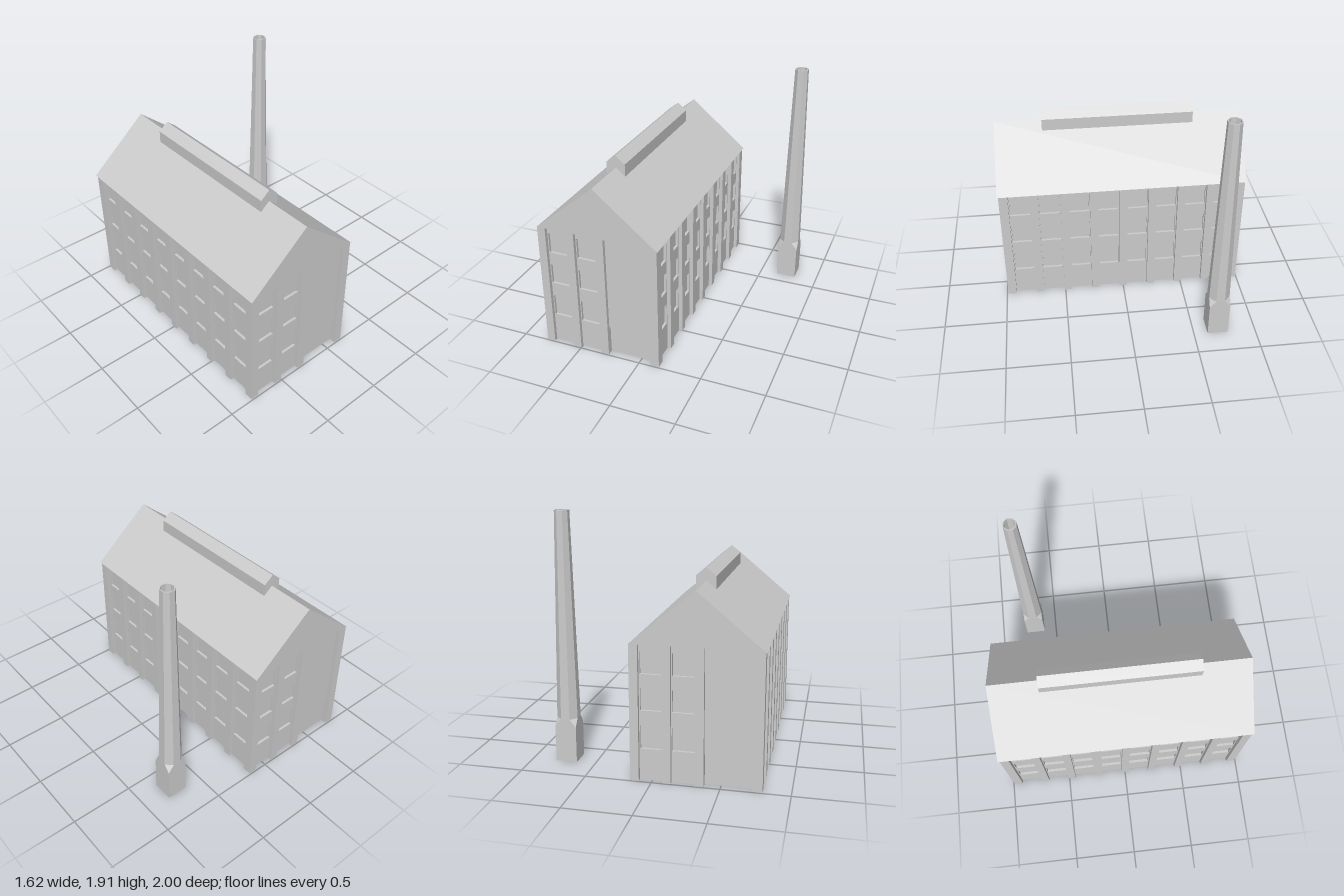
import * as THREE from 'three';

const material = new THREE.MeshStandardMaterial({ color: 0xcccccc, flatShading: true, side: THREE.DoubleSide });
const EAVE = 1.02, RIDGE = 1.42, HALF_W = 0.48, HALF_L = 0.99, CENTRE_X = -0.32;
const BAY = -0.03, GLASS = -0.05;            // depths behind the pilaster face
const WINDOW_ROWS = [[0.24, 0.415], [0.53, 0.695], [0.8, 0.965]];

// Mesh from flat quads (or triangles), corners listed counter-clockwise
function faceMesh(name, faces) {
  const pos = [];
  for (const f of faces)
    for (let i = 1; i < f.length - 1; i++) pos.push(...f[0], ...f[i], ...f[i + 1]);
  const g = new THREE.BufferGeometry();
  g.setAttribute('position', new THREE.Float32BufferAttribute(pos, 3));
  g.computeVertexNormals();
  const mesh = new THREE.Mesh(g, material);
  mesh.name = name;
  return mesh;
}

// Upright rectangle facing +z
const rect = (x0, x1, y0, y1, z) => [[x0, y0, z], [x1, y0, z], [x1, y1, z], [x0, y1, z]];

// Inner sides of a recess from depth z0 back to z1
function reveals(x0, x1, y0, y1, z0, z1, sill = true) {
  const sides = [
    [[x0, y0, z0], [x0, y0, z1], [x0, y1, z1], [x0, y1, z0]],
    [[x1, y0, z1], [x1, y0, z0], [x1, y1, z0], [x1, y1, z1]],
    [[x0, y1, z0], [x0, y1, z1], [x1, y1, z1], [x1, y1, z0]],
  ];
  if (sill) sides.push([[x0, y0, z1], [x0, y0, z0], [x1, y0, z0], [x1, y0, z1]]);
  return sides;
}

// A wall facing +z: pilasters between recessed bays; each bay holds windows or a gate
function makeWall(name, half, bays) {
  const wall = new THREE.Group();
  wall.name = name;
  const pilasters = [], panels = [], windows = [], gates = [];
  let edge = -half;
  for (const { x0, x1, gate } of bays) {
    pilasters.push(rect(edge, x0, 0, EAVE, 0), ...reveals(x0, x1, 0, EAVE, 0, BAY, false));
    edge = x1;
    if (gate) {
      // upper leaf stands proud of the low threshold panel
      gates.push(rect(x0, x1, 0.235, EAVE, BAY), rect(x0, x1, 0, 0.235, GLASS),
        ...reveals(x0, x1, 0, 0.235, BAY, GLASS, false));
      continue;
    }
    const w0 = x0 + 0.008, w1 = x1 - 0.008;
    panels.push(rect(x0, w0, 0, EAVE, BAY), rect(w1, x1, 0, EAVE, BAY));
    let y = 0;
    for (const [y0, y1] of WINDOW_ROWS) {
      panels.push(rect(w0, w1, y, y0, BAY));
      windows.push(rect(w0, w1, y0, y1, GLASS), ...reveals(w0, w1, y0, y1, BAY, GLASS));
      y = y1;
    }
    panels.push(rect(w0, w1, y, EAVE, BAY));
  }
  pilasters.push(rect(edge, half, 0, EAVE, 0));
  wall.add(faceMesh('pilasters', pilasters), faceMesh('bayPanels', panels), faceMesh('windows', windows));
  if (gates.length) wall.add(faceMesh('gate', gates));
  return wall;
}

function makeHall() {
  const hall = new THREE.Group();
  hall.name = 'hall';
  hall.position.x = CENTRE_X;

  // End walls with gables, the back one turned half a circle
  const endBays = [
    { x0: -0.415, x1: -0.245 },
    { x0: -0.18, x1: -0.005 },
    { x0: 0.06, x1: 0.41, gate: true },
  ];
  // Long walls with eight equal bays
  const sideBays = [];
  for (let i = 0; i < 8; i++) {
    const c = (i - 3.5) * 0.2375;
    sideBays.push({ x0: c - 0.0875, x1: c + 0.0875 });
  }
  for (const turn of [0, 1]) {
    const s = turn ? -1 : 1;
    const end = makeWall(turn ? 'backWall' : 'frontWall', HALF_W, endBays);
    end.add(faceMesh('gable', [[[-HALF_W, EAVE, 0], [HALF_W, EAVE, 0], [0, RIDGE, 0]]]));
    end.position.z = s * HALF_L;
    end.rotation.y = turn * Math.PI;
    const side = makeWall(turn ? 'rightWall' : 'leftWall', HALF_L, sideBays);
    side.position.x = s * HALF_W;
    side.rotation.y = s * Math.PI / 2;
    hall.add(end, side);
  }

  // Thin gabled roofs: main roof and the ridge monitor
  const slopes = (w, yEave, yRidge, l) => [
    [[0, yRidge, l], [w, yEave, l], [w, yEave, -l], [0, yRidge, -l]],
    [[0, yRidge, -l], [-w, yEave, -l], [-w, yEave, l], [0, yRidge, l]],
  ];
  hall.add(faceMesh('roof', slopes(0.49, 1.012, RIDGE, 1)));

  const w = 0.075, l = 0.615, low = 1.358, top = 1.455, peak = 1.515;
  const monitor = new THREE.Group();
  monitor.name = 'roofMonitor';
  const walls = [];
  for (const s of [1, -1]) {
    walls.push(
      [[s * w, low, s * l], [s * w, low, -s * l], [s * w, top, -s * l], [s * w, top, s * l]],
      [[-s * w, low, s * l], [0, RIDGE, s * l], [0, peak, s * l], [-s * w, top, s * l]],
      [[0, RIDGE, s * l], [s * w, low, s * l], [s * w, top, s * l], [0, peak, s * l]]);
  }
  monitor.add(faceMesh('monitorWalls', walls), faceMesh('monitorRoof', slopes(w, top, peak, l)));
  hall.add(monitor);
  return hall;
}

function makeChimney() {
  const chimney = new THREE.Group();
  chimney.name = 'chimney';
  chimney.position.set(0.7275, 0, -0.6925);
  const a = 0.082, t = a * Math.tan(Math.PI / 8), shoulder = 0.28, neck = 0.34, height = 1.91;

  // Square base whose corners slope up into the octagon
  const base = [];
  for (let i = 0; i < 4; i++) {
    const c = Math.round(Math.cos(i * Math.PI / 2)), s = Math.round(Math.sin(i * Math.PI / 2));
    const p = (x, y, z) => [c * x + s * z, y, c * z - s * x];
    base.push(
      [p(-t, neck, a), p(-a, shoulder, a), p(-a, 0, a), p(a, 0, a), p(a, shoulder, a), p(t, neck, a)],
      [p(t, neck, a), p(a, shoulder, a), p(a, neck, t)]);
  }
  chimney.add(faceMesh('chimneyBase', base));

  // Tapered eight-sided shaft with an open, lipped top
  const profile = [[a, neck], [0.051, height], [0.043, height], [0.043, height - 0.15]]
    .map(([r, y]) => new THREE.Vector2(r / Math.cos(Math.PI / 8), y));
  const shaft = new THREE.Mesh(new THREE.LatheGeometry(profile, 8, Math.PI / 8), material);
  shaft.name = 'chimneyShaft';
  chimney.add(shaft);
  return chimney;
}

export function createModel() {
  const model = new THREE.Group();
  model.name = 'factory';
  model.add(makeHall(), makeChimney());
  return model;
}
